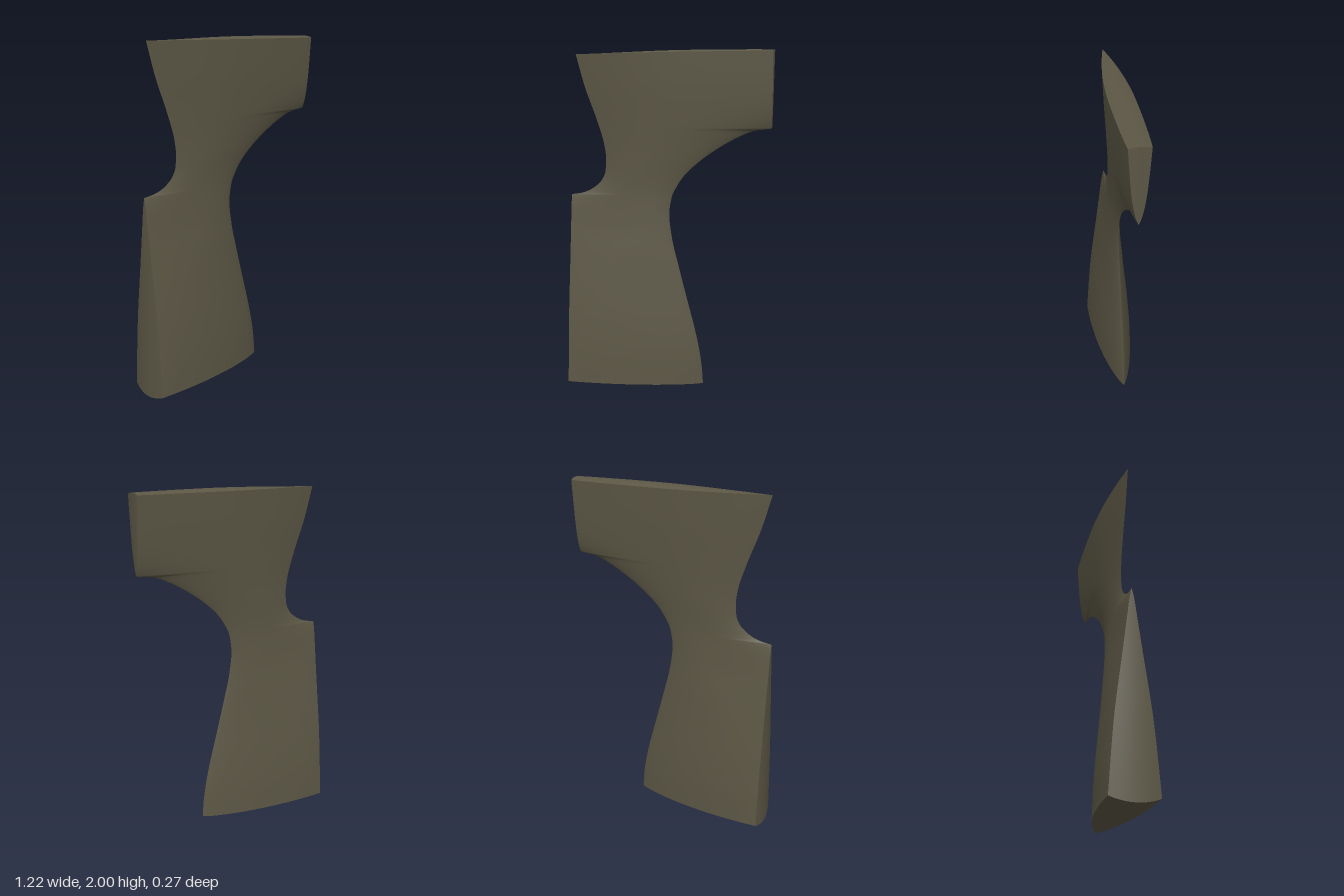
import * as THREE from 'three';

// Smooth lookup without overshoot through [y, value] points (clamped at the ends)
function curve(pts) {
  const n = pts.length;
  const sec = (i) => (pts[i + 1][1] - pts[i][1]) / (pts[i + 1][0] - pts[i][0]);
  const slope = pts.map((_, i) => {
    if (i === 0) return sec(0);
    if (i === n - 1) return sec(n - 2);
    const a = sec(i - 1), b = sec(i);
    return a * b <= 0 ? 0 : (2 * a * b) / (a + b);
  });
  return (y) => {
    if (y <= pts[0][0]) return pts[0][1];
    if (y >= pts[n - 1][0]) return pts[n - 1][1];
    let i = 0;
    while (y > pts[i + 1][0]) i++;
    const d = pts[i + 1][0] - pts[i][0], u = (y - pts[i][0]) / d, w = 1 - u;
    return pts[i][1] * (1 + 2 * u) * w * w + slope[i] * d * u * w * w
      + pts[i + 1][1] * u * u * (3 - 2 * u) - slope[i + 1] * d * u * u * w;
  };
}

const Y0 = 0.03, Y1 = 1.985, NOTCH = 1.16, ARM = 1.56;

// Outline: straight cut below the notch / above the arm, curved elsewhere
const leftX = curve([[NOTCH, -0.593], [1.17, -0.53], [1.2, -0.46], [1.25, -0.405], [1.3, -0.383],
  [1.37, -0.377], [1.45, -0.386], [1.6, -0.43], [1.8, -0.503], [Y1, -0.555]]);
const rightX = curve([[Y0, 0.213], [0.13, 0.205], [0.23, 0.19], [0.36, 0.162], [0.55, 0.112],
  [0.75, 0.06], [0.92, 0.02], [1.05, 0.005], [1.15, 0.018], [1.22, 0.05], [1.29, 0.1], [1.38, 0.2],
  [1.455, 0.31], [1.505, 0.4], [1.545, 0.5], [ARM, 0.597], [Y1, 0.6]]);

// Half thickness: at the thickest line, on the left cut and on the right cut
const peakH = curve([[Y0, 0.133], [0.2, 0.125], [0.4, 0.108], [0.6, 0.085], [0.8, 0.06], [1.0, 0.036],
  [1.2, 0.025], [1.4, 0.032], [1.6, 0.046], [1.8, 0.06], [Y1, 0.07]]);
const leftH = curve([[Y0, 0.132], [0.4, 0.103], [0.8, 0.052], [1.0, 0.026], [1.1, 0.013], [NOTCH, 0]]);
const rightH = curve([[ARM, 0], [1.6, 0.015], [1.7, 0.034], [1.85, 0.048], [Y1, 0.057]]);
const peakX = curve([[Y0, -0.53], [0.6, -0.42], [1.0, -0.24], [1.2, -0.2], [1.6, 0], [Y1, 0.12]]);

// Point of the solid: s across, y up, v from back (-1) to front (+1)
function solid(s, y, v) {
  const xl = leftX(y), xr = rightX(y), p = peakX(y), h = peakH(y);
  const x = xl + (xr - xl) * s;
  const onLeft = x < p;
  const u = Math.min(1, onLeft ? (p - x) / (p - xl) : (x - p) / (xr - p));
  const end = onLeft ? leftH(y) : rightH(y);
  const half = end + (h - end) * Math.pow(Math.max(0, 1 - u * u), onLeft ? 1 : 0.8);
  const d = half * half * (1 - v * v); // crowning of the cut faces
  const t = (y - Y0) / (Y1 - Y0);
  return [x + d * (-1 * (1 - s) + 1.5 * s), y + d * (-1.7 * (1 - t) + 3 * t), v * half];
}

// Grid surface over two parameter lists; faces a x b
function patch(as, bs, fn) {
  const pos = [], idx = [], n = as.length;
  bs.forEach((b) => as.forEach((a) => pos.push(...fn(a, b))));
  for (let j = 0; j < bs.length - 1; j++) {
    for (let i = 0; i < n - 1; i++) {
      const k = j * n + i;
      idx.push(k, k + 1, k + n, k + 1, k + n + 1, k + n);
    }
  }
  const g = new THREE.BufferGeometry();
  g.setAttribute('position', new THREE.Float32BufferAttribute(pos, 3));
  g.setIndex(idx);
  g.computeVertexNormals();
  return g;
}

const range = (a, b, n) => Array.from({ length: n + 1 }, (_, i) => a + ((b - a) * i) / n);

export function createModel() {
  const group = new THREE.Group();
  group.name = 'flaredBlade';
  const olive = new THREE.MeshStandardMaterial({ color: 0x5c5745 });
  olive.name = 'darkOlive';

  const lower = range(Y0, NOTCH, 50);
  const upper = range(ARM, Y1, 24);
  const rows = [...lower, ...range(NOTCH, 1.3, 28).slice(1), ...range(1.3, 1.45, 14).slice(1),
    ...range(1.45, ARM, 28).slice(1), ...upper.slice(1)];
  const cols = range(0, Math.PI, 48).map((a) => (1 - Math.cos(a)) / 2); // denser at the edges
  const across = range(-1, 1, 12);
  const flip = (list) => [...list].reverse();

  const add = (name, geometry) => {
    const mesh = new THREE.Mesh(geometry, olive);
    mesh.name = name;
    group.add(mesh);
  };

  // Broad faces
  add('frontFace', patch(cols, rows, (s, y) => solid(s, y, 1)));
  add('backFace', patch(flip(cols), rows, (s, y) => solid(s, y, -1)));
  // Crowned cut faces
  add('lowerSideCut', patch(across, lower, (v, y) => solid(0, y, v)));
  add('upperSideCut', patch(flip(across), upper, (v, y) => solid(1, y, v)));
  add('topCut', patch(across, cols, (v, s) => solid(s, Y1, v)));
  add('bottomCut', patch(flip(across), cols, (v, s) => solid(s, Y0, v)));
  return group;
}
